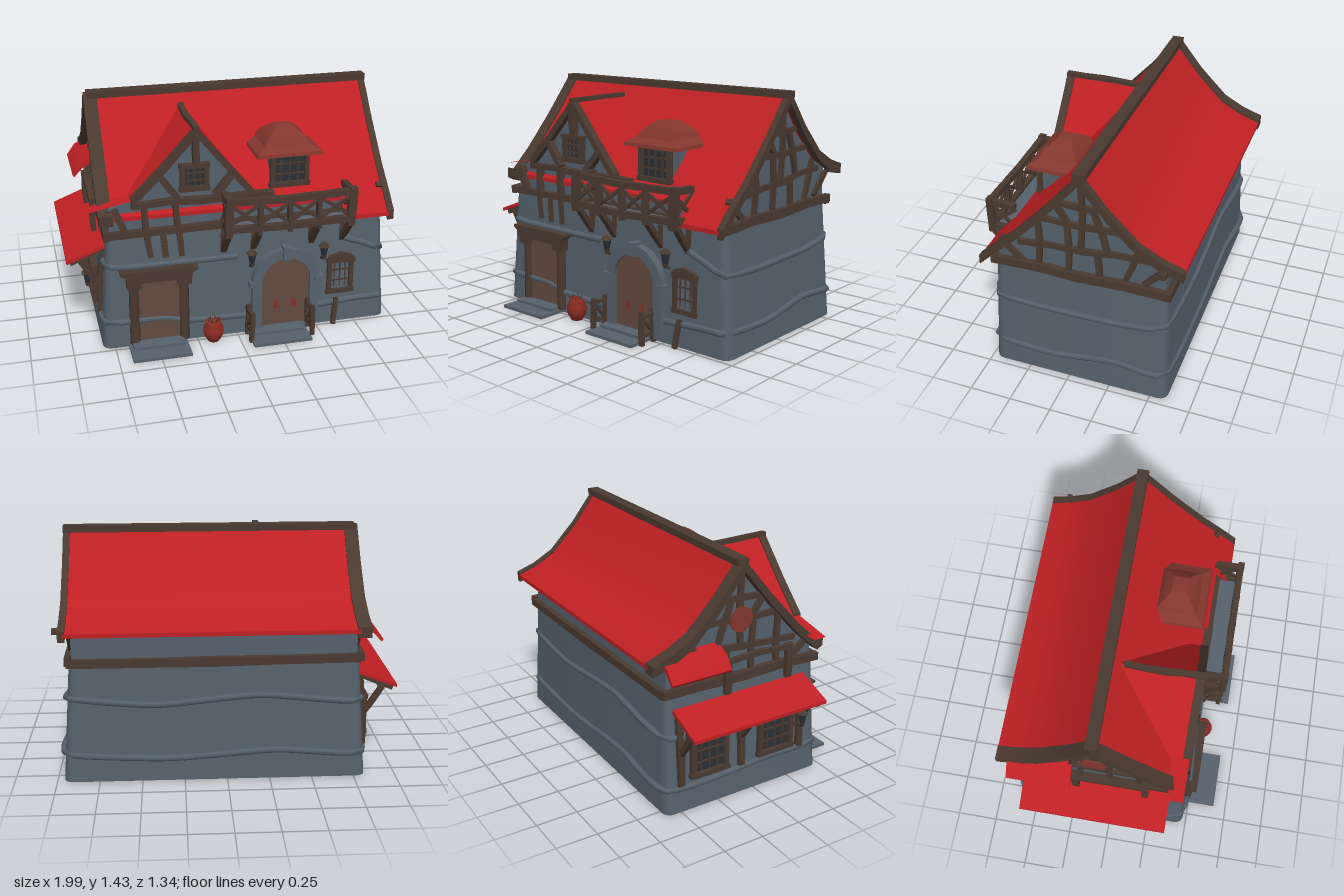
import * as THREE from 'three';
import { toCreasedNormals } from 'three/addons/utils/BufferGeometryUtils.js';

const mat = (name, color, side = THREE.FrontSide) => {
  const m = new THREE.MeshStandardMaterial({ color, side });
  m.name = name;
  return m;
};
const M = {
  roof: mat('roof red', 0xbf2024, THREE.DoubleSide),
  slate: mat('wall slate', 0x55616c),
  timber: mat('dark timber', 0x4a3a30),
  door: mat('door brown', 0x614a40),
  hood: mat('dormer russet', 0x83372f),
  clay: mat('clay red', 0x8c2c22),
  glass: mat('dark glass', 0x2a3036),
};
const V = (x, y, z) => new THREE.Vector3(x, y, z);

export function createModel() {
  const root = new THREE.Group();
  root.name = 'timberHouse';
  const add = (name, geo, m, parent = root) => {
    const mesh = new THREE.Mesh(geo, m);
    mesh.name = name;
    parent.add(mesh);
    return mesh;
  };
  const box = (name, m, x0, x1, y0, y1, z0, z1, parent) => {
    const g = new THREE.BoxGeometry(x1 - x0, y1 - y0, z1 - z0);
    return add(name, g.translate((x0 + x1) / 2, (y0 + y1) / 2, (z0 + z1) / 2), m, parent);
  };
  // slightly crooked timber between two points; n is the outward direction
  const beam = (name, a, b, w = 0.035, d = 0.035, n = V(0, 0, 1), parent = root) => {
    const dir = b.clone().sub(a), len = dir.length();
    dir.normalize();
    const g = new THREE.BoxGeometry(w, len, d, 1, 4, 1), p = g.attributes.position;
    for (let i = 0; i < p.count; i++)
      p.setX(i, p.getX(i) * (1 + 0.1 * Math.cos(p.getY(i) * 20)) + Math.min(0.006, len * 0.02) * Math.sin(p.getY(i) * 13 + a.x * 9));
    g.computeVertexNormals();
    const side = dir.clone().cross(n).normalize();
    g.applyMatrix4(new THREE.Matrix4().makeBasis(side, dir, side.clone().cross(dir)));
    g.translate((a.x + b.x) / 2, (a.y + b.y) / 2, (a.z + b.z) / 2);
    return add(name, g, M.timber, parent);
  };
  const shapeOf = (pts) => new THREE.Shape(pts.map(([x, y]) => new THREE.Vector2(x, y)));
  const extrude = (shape, depth, z0 = 0) =>
    toCreasedNormals(new THREE.ExtrudeGeometry(shape, { depth, bevelEnabled: false, curveSegments: 10 }).translate(0, 0, z0), 0.5);
  // profile given as [z, y], extruded from x0 to x1
  const extrudeX = (pts, x0, x1) =>
    extrude(shapeOf(pts.map(([z, y]) => [-z, y])), x1 - x0).rotateY(Math.PI / 2).translate(x0, 0, 0);
  const strip = (pts, up, down) => [...pts.map(([a, b]) => [a, b + up]), ...pts.map(([a, b]) => [a, b - down]).reverse()];

  // tapering stone body with rounded corners
  const hx = 0.89, hz = 0.54, cx = 0.07, cz = -0.06, r = 0.06;
  const taper = (y) => [1 - 0.08 * y, 1 - 0.07 * y];
  const s = new THREE.Shape();
  s.moveTo(-hx + r, -hz).lineTo(hx - r, -hz).quadraticCurveTo(hx, -hz, hx, -hz + r).lineTo(hx, hz - r)
    .quadraticCurveTo(hx, hz, hx - r, hz).lineTo(-hx + r, hz).quadraticCurveTo(-hx, hz, -hx, hz - r)
    .lineTo(-hx, -hz + r).quadraticCurveTo(-hx, -hz, -hx + r, -hz);
  const body = new THREE.ExtrudeGeometry(s, { depth: 0.73, steps: 6, bevelEnabled: false, curveSegments: 4 }).rotateX(-Math.PI / 2);
  const bp = body.attributes.position;
  for (let i = 0; i < bp.count; i++) {
    const [tx, tz] = taper(bp.getY(i));
    bp.setX(i, cx + bp.getX(i) * tx);
    bp.setZ(i, cz + bp.getZ(i) * tz);
  }
  add('stoneWalls', toCreasedNormals(body, 0.6), M.slate);

  // wavy stone bands; points are [u, v, y], u and v being fractions of the half width and depth
  const band = (pts) => {
    const path = new THREE.CatmullRomCurve3(pts.map(([u, v, y]) => {
      const [tx, tz] = taper(y);
      return V(cx + u * hx * tx, y, cz + v * hz * tz);
    }), false, 'catmullrom', 0.3);
    add('stoneBand', new THREE.TubeGeometry(path, 70, 0.02, 6), M.slate);
  };
  band([[0.7, 1, 0.57], [0.85, 1, 0.52], [0.98, 0.97, 0.47], [1, 0.4, 0.46], [1, -0.5, 0.47], [0.98, -0.97, 0.51], [0.4, -1, 0.47],
    [-0.3, -1, 0.52], [-0.98, -0.97, 0.47], [-1, 0, 0.5], [-0.98, 0.97, 0.53], [-0.5, 1, 0.52], [-0.08, 1, 0.52]]);
  band([[0.45, 1, 0.13], [0.8, 1, 0.15], [0.98, 0.97, 0.15], [1, 0.3, 0.14], [1, -0.4, 0.19], [0.98, -0.97, 0.17], [0.3, -1, 0.14],
    [-0.4, -1, 0.18], [-0.98, -0.97, 0.15], [-1, 0.3, 0.17], [-0.98, 0.97, 0.17], [-0.6, 1, 0.17], [-0.4, 1, 0.13], [0.02, 1, 0.12]]);

  // upper storey and main roof
  add('upperWalls', extrudeX([[0.43, 0.7], [0.43, 0.81], [-0.09, 1.38], [-0.25, 1.17], [-0.42, 1.0], [-0.56, 0.93], [-0.56, 0.7]], -0.75, 0.89), M.slate);
  const front = [[-0.09, 1.41], [0.1, 1.18], [0.3, 0.96], [0.44, 0.83], [0.53, 0.74]];
  const rear = [[-0.67, 0.93], [-0.55, 0.97], [-0.42, 1.04], [-0.25, 1.21]];
  add('mainRoof', extrudeX(strip([...rear, ...front.slice(0, 4)], 0, 0.025), -0.75, 0.92), M.roof);
  add('roofFlap', extrudeX(strip(front.slice(3), 0, 0.025), 0.64, 0.92), M.roof);
  add('rightBargeBoard', extrudeX(strip([...rear, ...front], 0.012, 0.05), 0.91, 0.95), M.timber);
  add('leftBargeBoard', extrudeX(strip([...rear, ...front.slice(0, 4), [0.48, 0.85]], 0.014, 0.05), -0.81, -0.73), M.timber);
  box('ridgeBeam', M.timber, -0.79, 0.95, 1.39, 1.43, -0.125, -0.055);
  beam('rearEaveEnd', V(0.9, 0.92, -0.57), V(0.99, 0.92, -0.57), 0.03, 0.03);

  // timber framing on both gable ends: [z, y, z, y]
  const frame = [[0.47, 0.73, -0.59, 0.74], [0.3, 0.88, -0.47, 0.94], [0.16, 1.07, -0.34, 1.08], [0.05, 1.2, -0.22, 1.2],
    [-0.08, 0.92, -0.09, 1.38], [0.0, 0.74, 0.0, 1.08], [0.0, 1.08, 0.07, 1.19], [-0.18, 0.74, -0.17, 0.92], [-0.23, 0.93, -0.15, 1.2],
    [0.18, 0.74, 0.17, 1.08], [-0.32, 0.74, -0.41, 1.0], [-0.57, 0.9, -0.44, 0.77], [0.41, 0.88, 0.27, 0.74]];
  for (const [x, sgn] of [[0.895, 1], [-0.755, -1]])
    frame.forEach(([z0, y0, z1, y1], i) => {
      const o = i ? 0 : sgn * 0.017;
      beam('gableTimber', V(x + o, y0, z0), V(x + o, y1, z1), i ? 0.033 : 0.05, 0.035, V(sgn, 0, 0));
    });
  beam('rearTieBeam', V(-0.77, 0.73, -0.575), V(0.92, 0.73, -0.575), 0.05, 0.04, V(0, 0, -1));
  beam('frontTieBeam', V(-0.78, 0.73, 0.45), V(0.92, 0.73, 0.45), 0.04, 0.04);

  // front cross gable, its sheets running back to the main slope
  const gable = [[-0.87, 0.88], [-0.62, 0.93], [-0.45, 1.1], [-0.24, 1.33], [-0.06, 1.11], [0.1, 0.92]];
  const slopeZ = (y) => {
    const i = Math.max(1, front.findIndex(([, fy]) => fy <= y));
    const [z0, y0] = front[i - 1], [z1, y1] = front[i];
    return z0 + (z1 - z0) * (y0 - y) / (y0 - y1) - 0.02;
  };
  const pos = [], idx = [];
  gable.forEach(([x, y], i) => {
    pos.push(x, y, 0.45, x, y, slopeZ(y));
    if (i) idx.push(2 * i - 2, 2 * i, 2 * i - 1, 2 * i, 2 * i + 1, 2 * i - 1);
  });
  const sheet = new THREE.BufferGeometry();
  sheet.setAttribute('position', new THREE.Float32BufferAttribute(pos, 3));
  sheet.setIndex(idx);
  add('crossGableRoof', toCreasedNormals(sheet, 0.5), M.roof);
  add('crossGableWall', extrude(shapeOf([[-0.75, 0.7], [0.06, 0.7], [0.06, 0.93], [-0.24, 1.3], [-0.6, 0.92], [-0.75, 0.88]]), 0.32, 0.1), M.slate);
  add('crossGableBoard', extrude(shapeOf(strip(gable.slice(1), 0.012, 0.045)), 0.05, 0.41), M.timber);
  beam('crossGableRidge', V(-0.245, 1.335, 0.46), V(-0.245, 1.335, 0), 0.035, 0.025, V(0, 1, 0));
  for (const [x0, y0, x1, y1] of [[-0.62, 0.9, 0.22, 0.9], [-0.24, 1.1, -0.24, 1.3], [-0.46, 1.08, -0.35, 0.92], [-0.02, 1.06, -0.13, 0.92],
    [-0.55, 0.9, -0.52, 0.57], [-0.36, 0.9, -0.34, 0.56], [-0.44, 0.72, -0.43, 0.56], [-0.07, 0.9, -0.07, 0.57], [-0.72, 0.88, -0.66, 0.74]])
    beam('frontTimber', V(x0, y0, 0.435), V(x1, y1, 0.445), 0.035, 0.05);

  // lattice windows facing +z in their own frame
  const window = (name, x, y, z, w, h, glass = M.glass, turn = 0) => {
    const g = new THREE.Group();
    g.name = name;
    box('pane', glass, -w / 2, w / 2, -h / 2, h / 2, 0, 0.008, g);
    for (const k of [-1, 1]) {
      box('jamb', M.timber, k * w / 2 - 0.014, k * w / 2 + 0.014, -h / 2, h / 2, 0, 0.03, g);
      box('sill', M.timber, -w / 2 - 0.02, w / 2 + 0.02, k * h / 2 - 0.014, k * h / 2 + 0.014, 0, 0.035, g);
      box('crossbar', M.timber, -w / 2, w / 2, k * h / 6 - 0.005, k * h / 6 + 0.005, 0, 0.016, g);
    }
    for (const k of [-1, 0, 1]) box('mullion', M.timber, k * w / 4 - 0.004, k * w / 4 + 0.004, -h / 2, h / 2, 0, 0.016, g);
    g.position.set(x, y, z);
    g.rotation.y = turn;
    root.add(g);
  };
  window('atticWindow', -0.25, 1.04, 0.42, 0.14, 0.14);
  window('dormerWindow', 0.34, 1.01, 0.35, 0.21, 0.19);
  window('frontWindow', 0.65, 0.32, 0.455, 0.14, 0.21, M.clay);
  add('windowArch', extrude(shapeOf([[0.56, 0.42], [0.74, 0.42], [0.72, 0.455], [0.65, 0.475], [0.58, 0.455]]), 0.04, 0.45), M.timber);
  for (const z of [-0.32, 0.14]) window('sideWindow', -0.815, 0.33, z, 0.22, 0.22, M.glass, -Math.PI / 2);

  // dormer with a flared hipped hood
  box('dormerWalls', M.slate, 0.24, 0.44, 0.85, 1.12, 0.02, 0.35);
  const hood = new THREE.LatheGeometry([[0, 1.1], [0.2, 1.1], [0.195, 1.12], [0.14, 1.15], [0.11, 1.2], [0.05, 1.245], [0, 1.25]]
    .map(([a, b]) => new THREE.Vector2(a * Math.SQRT2, b)), 4, Math.PI / 4);
  add('dormerHood', toCreasedNormals(hood.scale(1, 1, 0.87), 0.5), M.hood).position.set(0.33, 0, 0.235);

  // balcony with crossed railings and brackets
  box('balconyFloor', M.slate, -0.08, 0.66, 0.725, 0.745, 0.42, 0.58);
  const rail = (a, b) => {
    const at = (p, y) => V(p[0], y, p[1]);
    const n = a[0] === b[0] ? V(1, 0, 0) : V(0, 0, 1);
    beam('railCross', at(a, 0.77), at(b, 0.9), 0.018, 0.016, n);
    beam('railCross', at(a, 0.9), at(b, 0.77), 0.018, 0.014, n);
    for (const y of [0.75, 0.92]) beam('balconyRail', at(a, y), at(b, y), 0.035, 0.035, n);
  };
  const bays = [-0.08, 0.1, 0.28, 0.46, 0.66];
  bays.forEach((x, i) => {
    const end = i === 0 || i === 4;
    if (i) rail([bays[i - 1], 0.585], [x, 0.585]);
    if (end) rail([x, 0.43], [x, 0.585]);
    beam('balconyPost', V(x, 0.71, 0.585), V(x, end ? 0.95 : 0.92, 0.585), end ? 0.045 : 0.025, 0.04);
    if (i !== 2) {
      beam('balconyBracket', V(x, 0.56, 0.445), V(x, 0.72, 0.57), 0.035, 0.03);
      beam('bracketPost', V(x, 0.55, 0.44), V(x, 0.73, 0.44), 0.035, 0.04);
    }
  });

  // square shop door with columns and cornice
  box('squareDoor', M.door, -0.62, -0.33, 0.03, 0.47, 0.43, 0.485);
  for (const x of [-0.63, -0.33]) {
    add('doorColumn', new THREE.CylinderGeometry(0.028, 0.032, 0.42, 10).translate(x, 0.23, 0.48), M.timber);
    box('columnCapital', M.timber, x - 0.042, x + 0.042, 0.4, 0.45, 0.44, 0.52);
  }
  add('doorCornice', extrude(shapeOf([[-0.67, 0.44], [-0.29, 0.44], [-0.28, 0.48], [-0.25, 0.5], [-0.25, 0.515], [-0.71, 0.515], [-0.71, 0.5], [-0.68, 0.48]]), 0.09, 0.44), M.timber);

  // arched door with stone surround
  const arch = (w, top, y0 = 0.02) => {
    const a = new THREE.Shape();
    a.moveTo(0.295 - w, y0).lineTo(0.295 + w, y0).lineTo(0.295 + w, top - w).absarc(0.295, top - w, w, 0, Math.PI).lineTo(0.295 - w, y0);
    return a;
  };
  add('archedDoor', extrude(arch(0.16, 0.5), 0.06, 0.43), M.door);
  const surround = arch(0.21, 0.55);
  surround.holes.push(arch(0.15, 0.49, 0.03));
  add('archSurround', extrude(surround, 0.09, 0.42), M.slate);
  box('keystone', M.slate, 0.27, 0.32, 0.485, 0.565, 0.44, 0.525);
  for (const x of [0.09, 0.5]) box('archImpost', M.slate, x - 0.025, x + 0.025, 0.32, 0.35, 0.44, 0.52);
  for (const x of [0.24, 0.35]) box('doorHandle', M.clay, x - 0.012, x + 0.012, 0.15, 0.2, 0.488, 0.495);

  // steps, each a low pair of slabs
  for (const [a, b] of [[-0.67, -0.32], [0.06, 0.42]]) {
    box('lowerStep', M.slate, a, b, 0, 0.018, 0.44, 0.67);
    box('upperStep', M.slate, a + 0.02, b - 0.02, 0.018, 0.036, 0.44, 0.57);
  }
  // stair rails and leaning post
  for (const x of [0.06, 0.44]) {
    for (const z of [0.5, 0.6]) beam('stairPost', V(x, 0, z), V(x, 0.2, z), 0.025, 0.025);
    for (const y of [0.06, 0.17]) beam('stairRail', V(x, y, 0.47), V(x, y, 0.62), 0.02, 0.02, V(1, 0, 0));
    beam('stairCross', V(x, 0.06, 0.5), V(x, 0.17, 0.6), 0.015, 0.015, V(1, 0, 0));
  }
  beam('leaningPost', V(0.61, 0, 0.51), V(0.625, 0.17, 0.49), 0.025, 0.025);

  // clay pot with spiky plant
  const pot = [[0, 0], [0.035, 0], [0.058, 0.04], [0.062, 0.08], [0.045, 0.12], [0.05, 0.135], [0.035, 0.13], [0, 0.125]];
  add('clayPot', new THREE.LatheGeometry(pot.map(([a, b]) => new THREE.Vector2(a, b)), 14), M.clay).position.set(-0.16, 0, 0.52);
  for (let i = 0; i < 6; i++) {
    const a = i * Math.PI / 3;
    add('plantSpike', new THREE.ConeGeometry(0.008, 0.045, 4).translate(-0.16 + 0.028 * Math.cos(a), 0.142, 0.52 + 0.028 * Math.sin(a)), M.timber);
  }

  // wall lanterns
  const lantern = (x, y, z, ax, az) => {
    const g = new THREE.Group();
    g.name = 'lantern';
    add('lanternCap', new THREE.ConeGeometry(0.036, 0.035, 6).translate(0, 0.05, 0), M.timber, g);
    add('lanternGlass', new THREE.CylinderGeometry(0.026, 0.015, 0.06, 6), M.glass, g);
    add('lanternBase', new THREE.CylinderGeometry(0.018, 0.01, 0.025, 6).translate(0, -0.04, 0), M.timber, g);
    g.position.set(x, y, z);
    root.add(g);
    beam('lanternArm', V(x, y - 0.05, z), V(x + ax, y - 0.07, z + az), 0.015, 0.015, V(0, 1, 0));
  };
  lantern(0.08, 0.51, 0.5, 0, -0.06);
  lantern(0.53, 0.51, 0.5, 0, -0.06);
  lantern(-0.88, 0.4, 0.3, 0.09, 0);

  // lean-to awning with braces on the left side
  add('awning', extrude(shapeOf([[-1, 0.53], [-0.76, 0.62], [-0.76, 0.645], [-1, 0.55]]), 0.9, -0.53), M.roof);
  for (const z of [-0.5, -0.09, 0.33]) {
    beam('awningPost', V(-0.815, 0.17, z), V(-0.79, 0.6, z), 0.035, 0.04, V(0, 0, 1));
    beam('awningRafter', V(-0.98, 0.525, z), V(-0.78, 0.6, z), 0.03, 0.03);
    beam('awningBrace', V(-0.81, 0.37, z), V(-0.92, 0.53, z), 0.03, 0.03);
  }
  beam('awningPlate', V(-0.91, 0.54, -0.52), V(-0.91, 0.54, 0.36), 0.03, 0.025, V(0, 1, 0));

  // small eave hood, corbels and round plate on the left gable
  add('eaveHood', extrude(shapeOf([[-0.89, 0.85], [-0.84, 0.92], [-0.74, 0.97], [-0.74, 0.94], [-0.83, 0.89], [-0.88, 0.835]]), 0.38, -0.6), M.roof);
  beam('sidePlate', V(-0.825, 0.87, -0.22), V(-0.825, 0.87, 0.24), 0.03, 0.025, V(-1, 0, 0));
  for (const z of [-0.2, 0.22]) beam('corbel', V(-0.815, 0.67, z), V(-0.82, 0.88, z), 0.03, 0.04);
  add('roundPlate', new THREE.CylinderGeometry(0.075, 0.075, 0.009, 16).rotateZ(Math.PI / 2).translate(-0.782, 1.08, -0.09), M.hood);
  return root;
}
